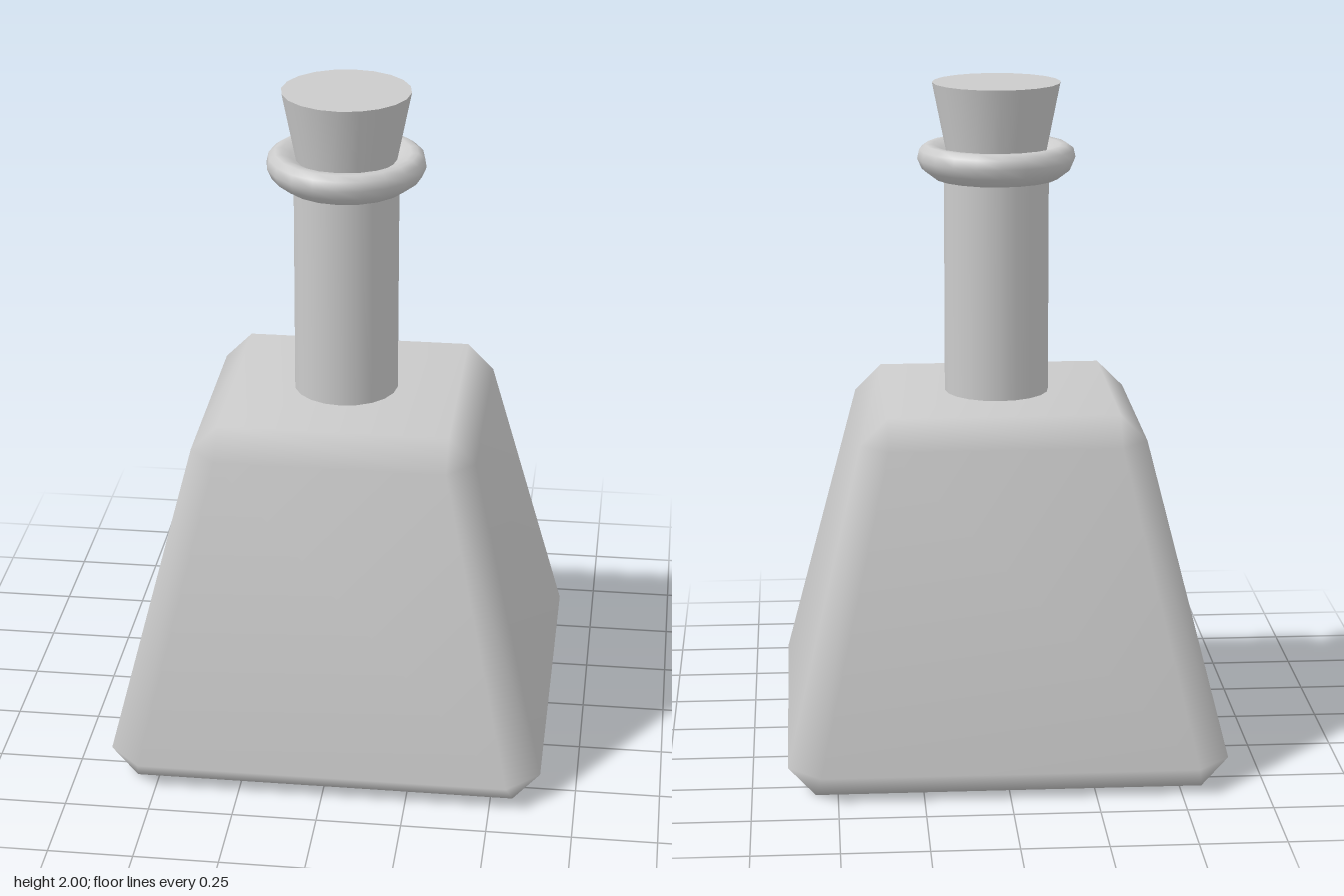
import * as THREE from 'three';

const SIDES = 20;
const material = new THREE.MeshStandardMaterial({ color: 0xcccccc });

function addPart(group, name, geometry, y = 0) {
  const mesh = new THREE.Mesh(geometry, material);
  mesh.name = name;
  mesh.position.y = y;
  group.add(mesh);
  return mesh;
}

// Tapered square body with one-step bevels: each corner has three vertices per end
function bodyGeometry() {
  const positions = [];
  const index = [];
  const ring = (flat, half, y) => {
    const start = positions.length / 3;
    for (let k = 0; k < 4; k++) {
      const c = Math.round(Math.cos(k * Math.PI / 2));
      const s = Math.round(Math.sin(k * Math.PI / 2));
      const corner = half === flat ? [[flat, flat]] : [[half, flat], [flat, half]];
      for (const [x, z] of corner) positions.push(x * c - z * s, y, x * s + z * c);
    }
    return start;
  };
  const base = ring(0.565, 0.565, 0);
  const low = ring(0.55, 0.645, 0.08);
  const high = ring(0.34, 0.42, 0.99);
  const top = ring(0.34, 0.34, 1.07);
  const quad = (a, b, c, d) => index.push(a, b, c, a, c, d);

  // Sides and corner bevels
  for (let i = 0; i < 8; i++) {
    const j = (i + 1) % 8;
    quad(low + i, high + i, high + j, low + j);
  }
  // Bevels around the base and the shoulder
  for (let k = 0; k < 4; k++) {
    const n = (k + 1) % 4;
    const a = 2 * k, b = 2 * k + 1, c = 2 * n;
    index.push(base + k, low + a, low + b, high + a, top + k, high + b);
    quad(base + k, low + b, low + c, base + n);
    quad(high + b, top + k, top + n, high + c);
  }
  // Flat underside and top
  quad(base, base + 1, base + 2, base + 3);
  quad(top + 3, top + 2, top + 1, top);

  const geometry = new THREE.BufferGeometry();
  geometry.setAttribute('position', new THREE.Float32BufferAttribute(positions, 3));
  geometry.setIndex(index);
  geometry.computeVertexNormals();
  return geometry;
}

export function createModel() {
  const bottle = new THREE.Group();
  bottle.name = 'bottle';

  addPart(bottle, 'body', bodyGeometry());

  // Straight neck rising from the shoulder
  addPart(bottle, 'neck', new THREE.CylinderGeometry(0.156, 0.156, 0.7, SIDES, 1, true), 1.39);

  // Rounded lip, turned from its outline
  const lip = [[0.15, 1.712], [0.185, 1.717], [0.222, 1.745], [0.235, 1.775],
    [0.229, 1.802], [0.21, 1.816], [0.19, 1.816], [0.165, 1.805], [0.14, 1.79]];
  addPart(bottle, 'lip', new THREE.LatheGeometry(lip.map(([r, y]) => new THREE.Vector2(r, y)), SIDES));

  // Tapered stopper
  addPart(bottle, 'stopper', new THREE.CylinderGeometry(0.19, 0.138, 0.26, SIDES), 1.87);

  return bottle;
}
